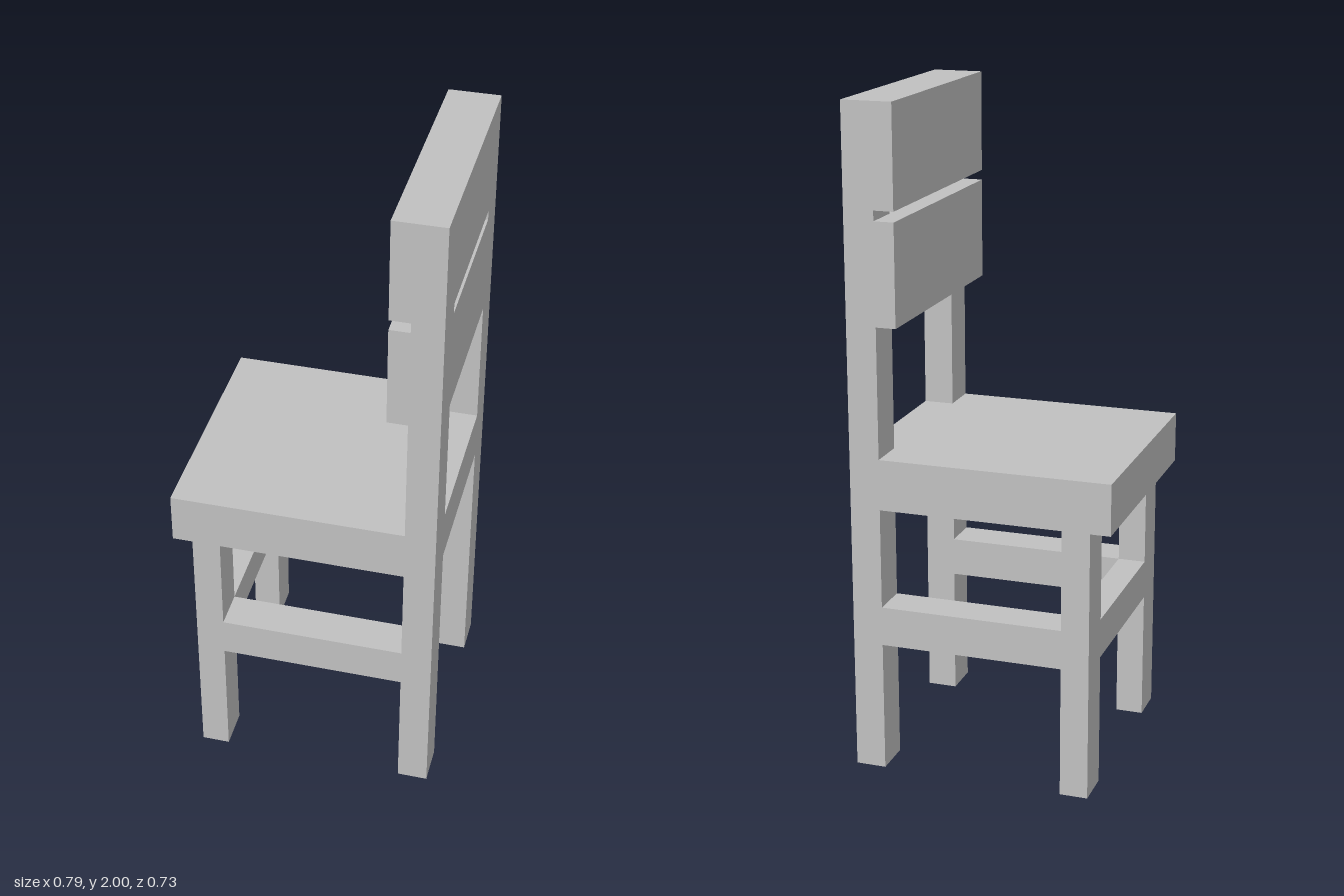
import * as THREE from 'three';

export function createModel() {
  const model = new THREE.Group();
  model.name = 'chair';
  const grey = new THREE.MeshStandardMaterial({ color: 0xc0c0c0 });
  grey.name = 'plain grey';

  // Box given by its extents along each axis
  const block = (name, [x0, x1], [y0, y1], [z0, z1]) => {
    const mesh = new THREE.Mesh(new THREE.BoxGeometry(x1 - x0, y1 - y0, z1 - z0), grey);
    mesh.position.set((x0 + x1) / 2, (y0 + y1) / 2, (z0 + z1) / 2);
    mesh.name = name;
    model.add(mesh);
  };

  const outer = 0.364, inner = 0.245;
  const full = [-outer, outer], between = [-inner, inner];
  const frontLegX = [-0.333, -0.249], postX = [0.302, 0.393];
  const seatY = [0.82, 0.973], railY = [0.398, 0.517];

  // Legs, back posts and side rails on both sides
  for (const [side, z] of [['left', [inner, outer]], ['right', [-outer, -inner]]]) {
    block(`${side}FrontLeg`, frontLegX, [0, seatY[0]], z);
    block(`${side}BackPost`, postX, [0, 2], z);
    block(`${side}SideRail`, [frontLegX[1], postX[0]], railY, z);
  }
  block('frontRail', frontLegX, railY, between);

  // Seat, with its rear edge filling the space between the posts
  block('seat', [-0.393, postX[0]], seatY, full);
  block('seatRear', postX, seatY, between);

  // Back slats: a wide face in front of the posts and a core between them
  for (const [name, y] of [['lowerSlat', [1.365, 1.668]], ['upperSlat', [1.698, 2]]]) {
    block(`${name}Face`, [0.242, postX[0]], y, full);
    block(`${name}Core`, postX, y, between);
  }
  return model;
}
